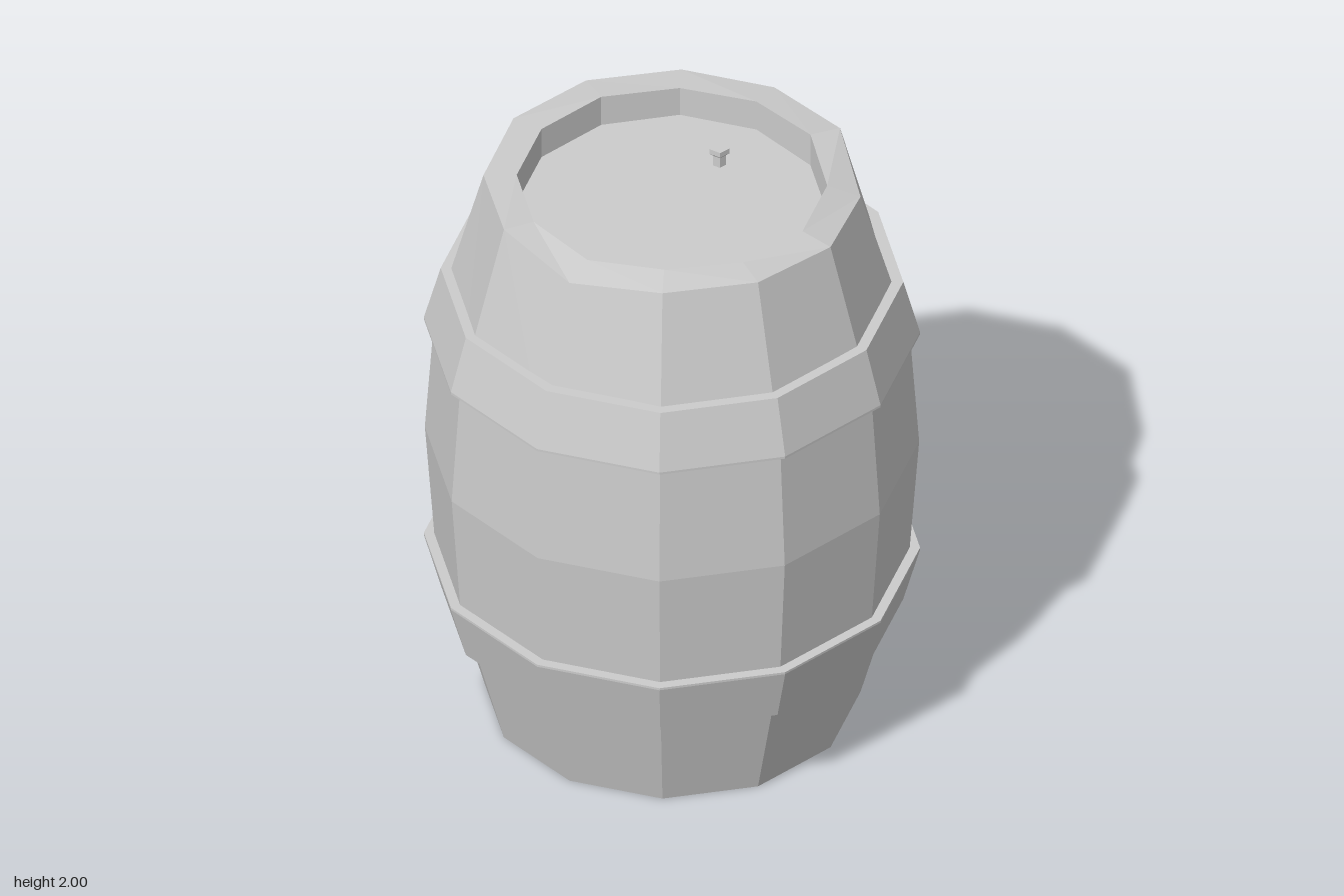
import * as THREE from 'three';

const SIDES = 12;

// Low-poly turned solid; profile runs counter-clockwise from bottom to top
function turned(name, profile, sides = SIDES) {
  const points = profile.map(([r, y]) => new THREE.Vector2(r, y));
  const geometry = new THREE.LatheGeometry(points, sides);
  const material = new THREE.MeshStandardMaterial({ color: 0xcccccc, flatShading: true });
  const mesh = new THREE.Mesh(geometry, material);
  mesh.name = name;
  return mesh;
}

export function createModel() {
  const barrel = new THREE.Group();
  barrel.name = 'barrel';

  // Staves with recessed heads at both ends
  const profile = [
    [0, 0.11], [0.49, 0.11], [0.49, 0], [0.595, 0], [0.75, 0.57], [0.78, 0.99],
    [0.75, 1.42], [0.595, 2], [0.49, 2], [0.49, 1.88], [0, 1.88],
  ];
  const body = turned('body', profile);

  // Worn, uneven top rim: height of each outer and inner corner, from +z towards +x
  const outerRim = [1.955, 1.985, 1.98, 1.965, 1.945, 1.99, 1.98, 1.98, 1.985, 1.99, 1.985, 1.995];
  const innerRim = [1.98, 2, 1.99, 1.985, 1.985, 2, 1.99, 1.985, 1.99, 1.99, 1.99, 1.99];
  const position = body.geometry.attributes.position;
  for (let i = 0; i <= SIDES; i++) {
    position.setY(i * profile.length + 7, outerRim[i % SIDES]);
    position.setY(i * profile.length + 8, innerRim[i % SIDES]);
  }
  body.geometry.computeVertexNormals();
  barrel.add(body);

  // Hoops, wider towards the belly
  barrel.add(turned('upperHoop', [
    [0.74, 1.412], [0.783, 1.412], [0.783, 1.42], [0.73, 1.615], [0.685, 1.615],
  ]));
  barrel.add(turned('lowerHoop', [
    [0.685, 0.37], [0.73, 0.37], [0.783, 0.565], [0.783, 0.573], [0.74, 0.573],
  ]));

  // Small bung on the top head
  const bung = turned('bung', [
    [0.022, 0], [0.022, 0.04], [0.033, 0.05], [0.033, 0.068], [0, 0.068],
  ], 5);
  bung.position.set(0, 1.878, -0.275);
  bung.rotation.y = Math.PI;
  barrel.add(bung);

  return barrel;
}
